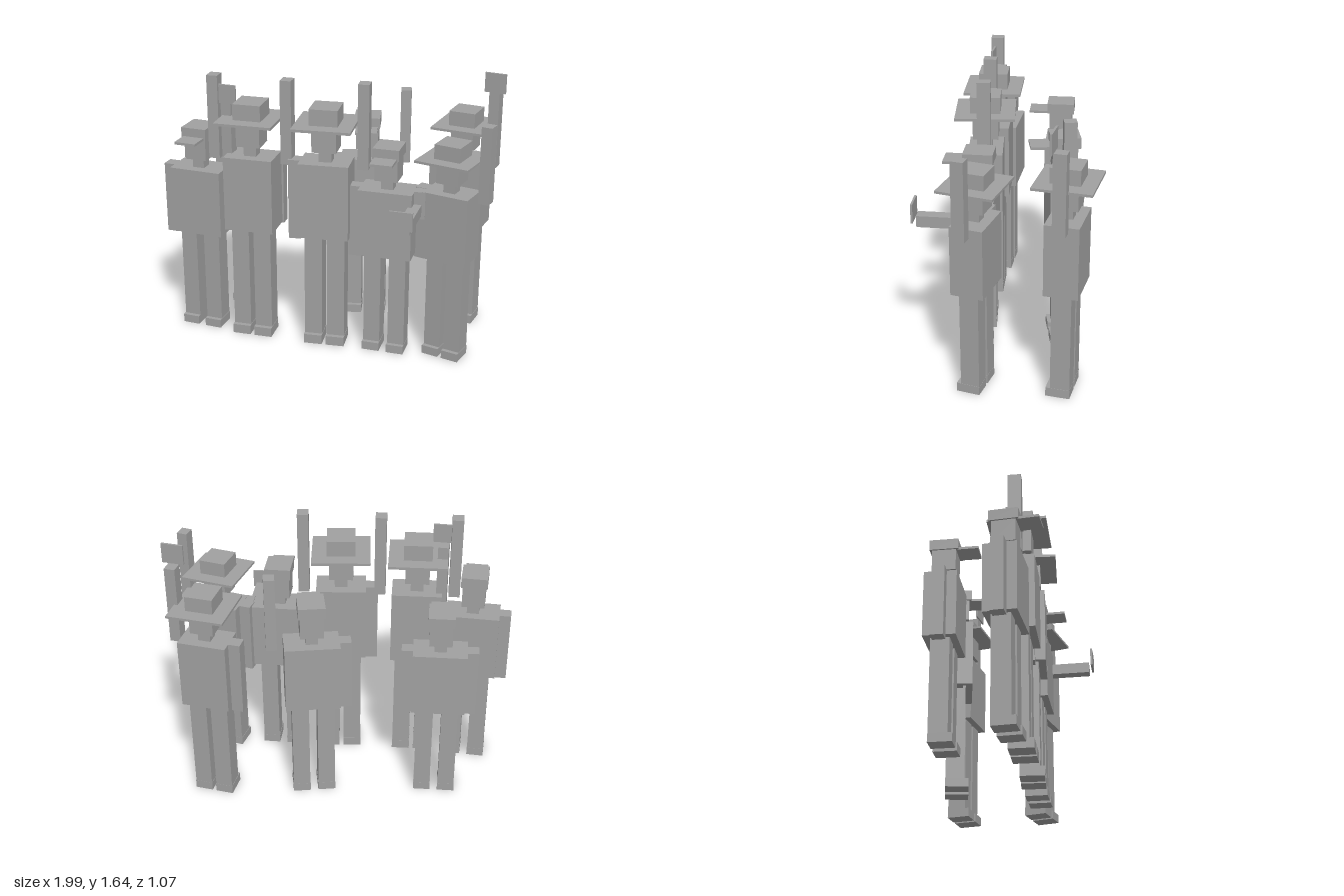
import * as THREE from 'three';

const grey = new THREE.MeshStandardMaterial({ color: 0xa0a0a0 });
grey.name = 'plain grey';

// Box spanning y0..y1, centred on x and z
function box(parent, name, w, d, y0, y1, x = 0, z = 0) {
  const mesh = new THREE.Mesh(new THREE.BoxGeometry(w, y1 - y0, d), grey);
  mesh.position.set(x, (y0 + y1) / 2, z);
  mesh.name = name;
  parent.add(mesh);
  return mesh;
}

// One arm: hanging, raised, raised with a sign, or bent forward with a sign
function addArm(person, side, pose, halfWidth) {
  const arm = new THREE.Group();
  arm.name = side > 0 ? 'leftArm' : 'rightArm';
  const x = side * (halfWidth + 0.033);
  if (pose === 'hanging') {
    box(arm, 'hangingArm', 0.068, 0.075, 0.6, 1.04, x);
  } else if (pose === 'raised') {
    box(arm, 'raisedArm', 0.062, 0.072, 1.012, 1.464, side * (halfWidth + 0.069));
  } else if (pose === 'holding') {
    box(arm, 'raisedArm', 0.062, 0.072, 1.012, 1.462, x);
    box(arm, 'sign', 0.125, 0.012, 1.462, 1.575, x + side * 0.005, 0.038);
  } else {
    box(arm, 'upperArm', 0.066, 0.075, 0.88, 1.045, x);
    box(arm, 'forearm', 0.068, 0.34, 0.9, 0.968, x - side * 0.022, 0.16);
    box(arm, 'sign', 0.135, 0.012, 0.932, 1.045, x - side * 0.035, 0.351);
  }
  person.add(arm);
}

function makePerson({ x, z, turn, scale, hat, right, left }) {
  const person = new THREE.Group();
  person.name = hat ? 'personWithHat' : 'personWithCap';
  const halfWidth = hat ? 0.14 : 0.16;
  const legX = hat ? 0.064 : 0.075;

  // Legs and shoes
  for (const side of [-1, 1]) {
    box(person, 'leg', 0.1, 0.11, 0.05, 0.63, side * legX);
    box(person, 'shoe', 0.104, 0.136, 0, 0.052, side * legX, 0.012);
  }

  // Body and head
  box(person, 'torso', halfWidth * 2, 0.19, 0.63, 1.04);
  box(person, 'neck', 0.072, 0.072, 1.04, 1.1);
  box(person, 'head', 0.135, 0.14, 1.1, 1.235);

  // Headwear
  if (hat) {
    box(person, 'hatBrim', 0.325, 0.325, 1.233, 1.247);
    box(person, 'hatCrown', 0.158, 0.165, 1.247, 1.333);
  } else {
    box(person, 'cap', 0.155, 0.17, 1.235, 1.3);
    box(person, 'capVisor', 0.13, 0.12, 1.232, 1.247, 0, 0.14);
  }

  addArm(person, -1, right, halfWidth);
  addArm(person, 1, left, halfWidth);

  const girth = 1 + (scale - 1) * 0.5;
  person.scale.set(girth, scale, girth);
  person.position.set(x, 0, z);
  person.rotation.y = turn;
  return person;
}

export function createModel() {
  const crowd = new THREE.Group();
  crowd.name = 'crowd';
  const people = [
    // Front row
    { x: -0.773, z: 0.105, turn: -0.11, scale: 1, hat: false, right: 'hanging', left: 'holding' },
    { x: -0.435, z: 0.15, turn: -0.02, scale: 1.113, hat: true, right: 'raised', left: 'raised' },
    { x: 0.018, z: 0.163, turn: 0.04, scale: 1.12, hat: true, right: 'hanging', left: 'raised' },
    { x: 0.388, z: 0.168, turn: -0.05, scale: 0.993, hat: false, right: 'hanging', left: 'bent' },
    { x: 0.751, z: 0.158, turn: -0.29, scale: 1, hat: true, right: 'hanging', left: 'raised' },
    // Back row
    { x: -0.575, z: -0.26, turn: -0.03, scale: 0.957, hat: false, right: 'hanging', left: 'hanging' },
    { x: 0.163, z: -0.3, turn: 0.15, scale: 1.008, hat: false, right: 'hanging', left: 'raised' },
    { x: 0.757, z: -0.337, turn: -0.21, scale: 1.034, hat: true, right: 'hanging', left: 'holding' },
  ];
  for (const p of people) crowd.add(makePerson(p));
  return crowd;
}
